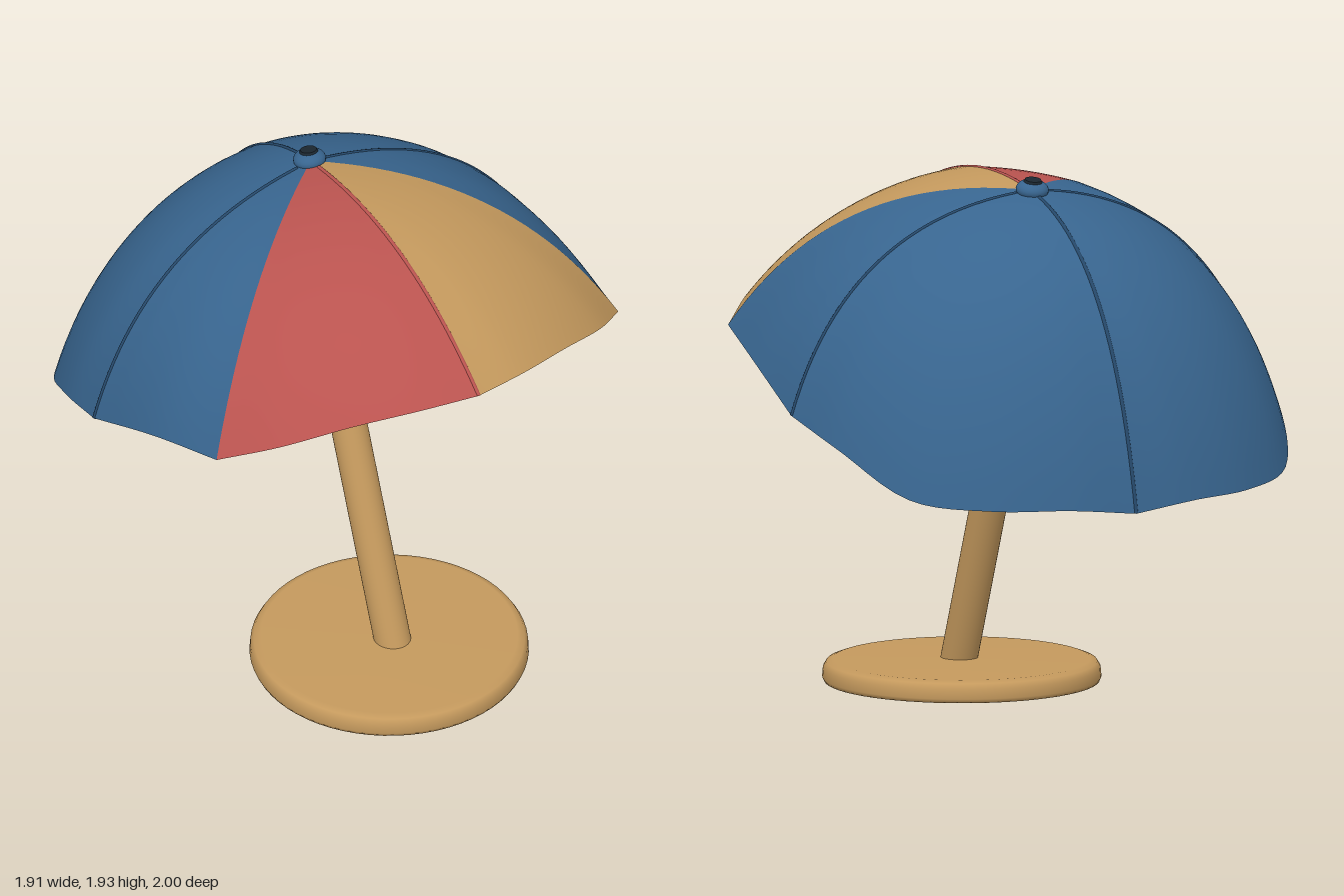
import * as THREE from 'three';

const mat = (name, color) => {
  const m = new THREE.MeshStandardMaterial({ color });
  m.name = name;
  return m;
};
const V = (x, y, z) => new THREE.Vector3(x, y, z);
const APEX = V(0, 1.88, -0.17);
const CORE = V(0, 1.1, -0.05);

// Rim points of the three panel groups on one side, running front to back
const PANELS = [
  { name: 'frontPanel', rim: [[0, 1.575, 1.0], [0.22, 1.56, 0.95], [0.45, 1.515, 0.855], [0.68, 1.43, 0.725], [0.85, 1.34, 0.57]] },
  { name: 'sidePanel', rim: [[0.85, 1.34, 0.57], [0.915, 1.265, 0.25], [0.95, 1.12, -0.12]] },
  { name: 'backPanel', rim: [[0.95, 1.12, -0.12], [0.9, 1.03, -0.4], [0.76, 0.88, -0.7], [0.52, 0.85, -0.88], [0.25, 0.845, -0.97], [0, 0.82, -1.0]] },
];

// Point on the dome: an arc from the apex (t = 0) down to a rim point (t = 1)
function arc(rim, t) {
  const f = THREE.MathUtils.lerp(0.77, 0.56, Math.max(0, rim.z));
  const c = V(rim.x * f, 0, APEX.z + (rim.z - APEX.z) * f);
  c.y = APEX.y + 0.19 * (c.z - APEX.z) - 0.085 * Math.abs(c.x);
  return new THREE.QuadraticBezierCurve3(APEX, c, rim).getPoint(t);
}
const inside = (p) => p.lerp(CORE, 0.04);

// Grid surface from fn(u, v); flip reverses the facing
function surface(fn, nu, nv, flip) {
  const pos = [], idx = [];
  for (let i = 0; i <= nu; i++)
    for (let j = 0; j <= nv; j++) pos.push(...fn(i / nu, j / nv).toArray());
  for (let i = 0; i < nu; i++)
    for (let j = 0; j < nv; j++) {
      const a = i * (nv + 1) + j, b = a + 1, c = a + nv + 1, d = c + 1;
      if (flip) idx.push(a, c, b, b, c, d);
      else idx.push(a, b, c, b, d, c);
    }
  const g = new THREE.BufferGeometry();
  g.setAttribute('position', new THREE.Float32BufferAttribute(pos, 3));
  g.setIndex(idx);
  g.computeVertexNormals();
  return g;
}

export function createModel() {
  const wood = mat('tan', 0xc4995d);
  const blue = mat('blue', 0x38658f);
  const red = mat('red', 0xb9534f);
  const dark = mat('dark lining', 0x1b2730);
  const seamBlue = mat('seam blue', 0x25486a);

  const model = new THREE.Group();
  model.name = 'beachUmbrella';
  const add = (parent, name, geo, m) => {
    const mesh = new THREE.Mesh(geo, m);
    mesh.name = name;
    parent.add(mesh);
    return mesh;
  };

  // Round base with a softened top edge
  const profile = [[0, 0], [0.498, 0], [0.505, 0.015], [0.502, 0.05], [0.49, 0.07], [0.465, 0.079], [0, 0.082]];
  const base = add(model, 'base', new THREE.LatheGeometry(profile.map((p) => new THREE.Vector2(...p)), 64), wood);
  base.position.z = 0.374;

  // Leaning pole
  const foot = V(0, 0.04, 0.41), top = V(0, 1.79, -0.27);
  const pole = add(model, 'pole', new THREE.CylinderGeometry(0.067, 0.067, foot.distanceTo(top), 32), wood);
  pole.position.copy(foot).lerp(top, 0.5);
  pole.quaternion.setFromUnitVectors(V(0, 1, 0), top.clone().sub(foot).normalize());

  // Canopy colours per side; hemStart is where the lining gives way to the hem
  const plain = { cloth: blue, lining: dark, hem: red, lip: red, hemStart: () => 0.975 };
  const wideHem = (u) => 0.975 - (u < 0.8 ? 0.17 * Math.sin((Math.PI * u) / 0.8) : 0);
  const sides = [
    { s: 1, looks: [{ cloth: wood, lining: wood, hem: red, lip: wood, hemStart: () => 0.84 }, plain, { ...plain, hemStart: wideHem }] },
    { s: -1, looks: [{ cloth: red, lining: red, hem: dark, lip: red, hemStart: (u) => 0.985 - 0.33 * u * u }, plain, plain] },
  ];

  // Canopy: cloth, lining, hem and lip for each panel
  const canopy = new THREE.Group();
  canopy.name = 'canopy';
  model.add(canopy);
  for (const { s, looks } of sides) {
    PANELS.forEach(({ name, rim }, k) => {
      const { cloth, lining, hem, lip, hemStart } = looks[k];
      const curve = new THREE.CatmullRomCurve3(rim.map(([x, y, z]) => V(x * s, y, z)));
      const edge = (u) => curve.getPoint(u);
      const dome = (u, t) => arc(edge(u), 0.004 + 0.996 * t);
      const flip = s < 0;
      add(canopy, name, surface(dome, 28, 24, flip), cloth);
      add(canopy, name + 'Lining', surface((u, v) => inside(dome(u, hemStart(u) * v)), 28, 20, !flip), lining);
      add(canopy, name + 'Hem', surface((u, v) => inside(dome(u, hemStart(u) + (1 - hemStart(u)) * v)), 28, 4, !flip), hem);
      add(canopy, name + 'Lip', surface((u, v) => edge(u).lerp(inside(edge(u)), v), 28, 1, flip), lip);
    });
  }

  // Slim seams sunk into the front, back and side ribs
  const addSeam = (name, rim, m) => {
    const pts = [];
    for (let j = 1; j <= 24; j++) pts.push(arc(rim, j / 24).lerp(CORE, 0.004));
    add(canopy, name, new THREE.TubeGeometry(new THREE.CatmullRomCurve3(pts), 48, 0.008, 8), m);
  };
  addSeam('frontSeam', V(0, 1.575, 1.0), red);
  addSeam('backSeam', V(0, 0.82, -1.0), seamBlue);
  for (const s of [1, -1]) addSeam('sideSeam', V(0.95 * s, 1.12, -0.12), seamBlue);

  // Button on top of the canopy
  const finial = new THREE.Group();
  finial.name = 'finial';
  finial.position.set(0, 1.884, -0.18);
  finial.rotation.x = -0.2;
  model.add(finial);
  add(finial, 'button', new THREE.SphereGeometry(0.06, 24, 16), blue).scale.y = 0.6;
  add(finial, 'buttonCap', new THREE.CylinderGeometry(0.03, 0.04, 0.02, 16), dark).position.y = 0.028;

  return model;
}
